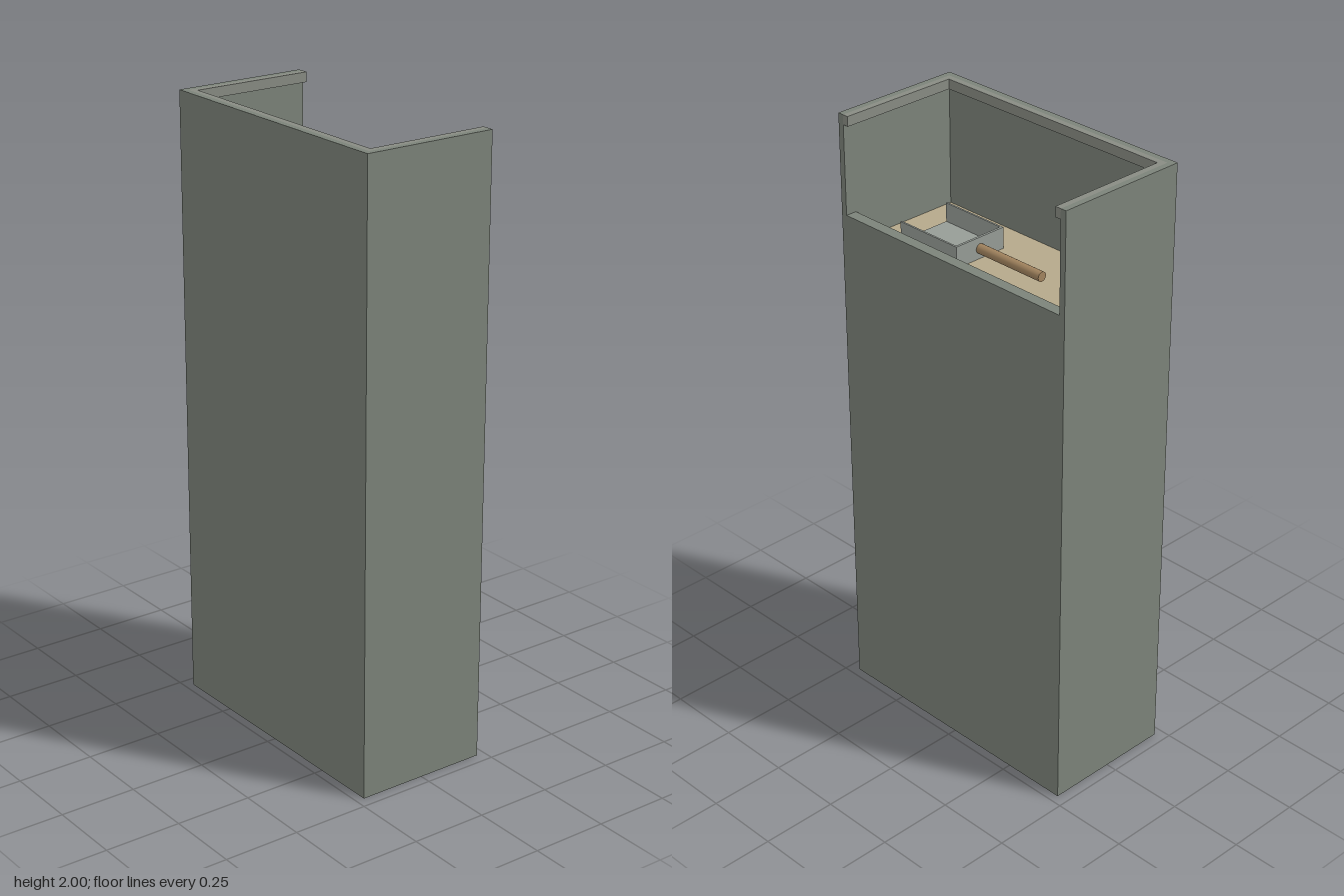
import * as THREE from 'three';

const mat = (color) => new THREE.MeshStandardMaterial({ color });

export function createModel() {
  const model = new THREE.Group();
  const shell = mat(0x7c8379), trim = mat(0x888b83), sand = mat(0xb5a88a);
  const steel = mat(0x969c96), wood = mat(0xa1835e);

  // Box given by its minimum and maximum corners
  function block(name, material, [x0, y0, z0], [x1, y1, z1], parent = model) {
    const mesh = new THREE.Mesh(new THREE.BoxGeometry(x1 - x0, y1 - y0, z1 - z0), material);
    mesh.position.set((x0 + x1) / 2, (y0 + y1) / 2, (z0 + z1) / 2);
    mesh.name = name;
    parent.add(mesh);
    return mesh;
  }

  const W = 0.463, D = 0.222, T = 0.02, H = 2;
  const lip = 0.02, lipY = 1.968, fillY = 1.58, backY = 1.677;

  // Tall bin: base, full-height front and sides, lower back
  const bin = new THREE.Group();
  bin.name = 'bin';
  model.add(bin);
  block('base', shell, [-W + T, 0, -D + 0.037], [W - T, T, D - T], bin);
  block('frontWall', shell, [-W + T, 0, D - T], [W - T, H, D], bin);
  block('backWall', shell, [-W + T, 0, -D], [W - T, backY, -D + 0.037], bin);
  for (const s of [-1, 1]) {
    const side = s > 0 ? 'left' : 'right';
    const a = s * W, b = s * (W - T), c = s * (W - T - lip);
    block(side + 'Wall', shell, [Math.min(a, b), 0, -D], [Math.max(a, b), H, D], bin);
    // Inward lip along the top of the side
    block(side + 'Lip', trim, [Math.min(b, c), lipY, -D], [Math.max(b, c), H, D - T], bin);
  }
  block('frontLip', trim, [-W + T + lip, lipY, D - T - lip], [W - T - lip, H, D - T], bin);

  // Sand level inside
  block('sandFill', sand, [-W + T, fillY - 0.02, -D + 0.037], [W - T, fillY, D - T]);

  // Scoop: tray open at its left end, with a round handle
  const scoop = new THREE.Group();
  scoop.name = 'scoop';
  model.add(scoop);
  const x0 = 0.1, x1 = 0.342, z0 = -0.098, z1 = 0.094, t = 0.006, top = 1.65;
  block('scoopTray', steel, [x0, fillY, z0], [x1, fillY + 0.008, z1], scoop);
  block('scoopEnd', steel, [x0, fillY, z0], [x0 + 0.008, top, z1], scoop);
  block('scoopBackSide', steel, [x0 + 0.008, fillY, z0], [x1, top, z0 + t], scoop);
  block('scoopFrontSide', steel, [x0 + 0.008, fillY, z1 - t], [x1, top, z1], scoop);

  const handle = new THREE.Mesh(new THREE.CylinderGeometry(0.016, 0.016, 0.26, 16), wood);
  handle.rotation.z = Math.PI / 2;
  handle.position.set(-0.028, 1.613, -0.002);
  handle.name = 'scoopHandle';
  scoop.add(handle);

  return model;
}
